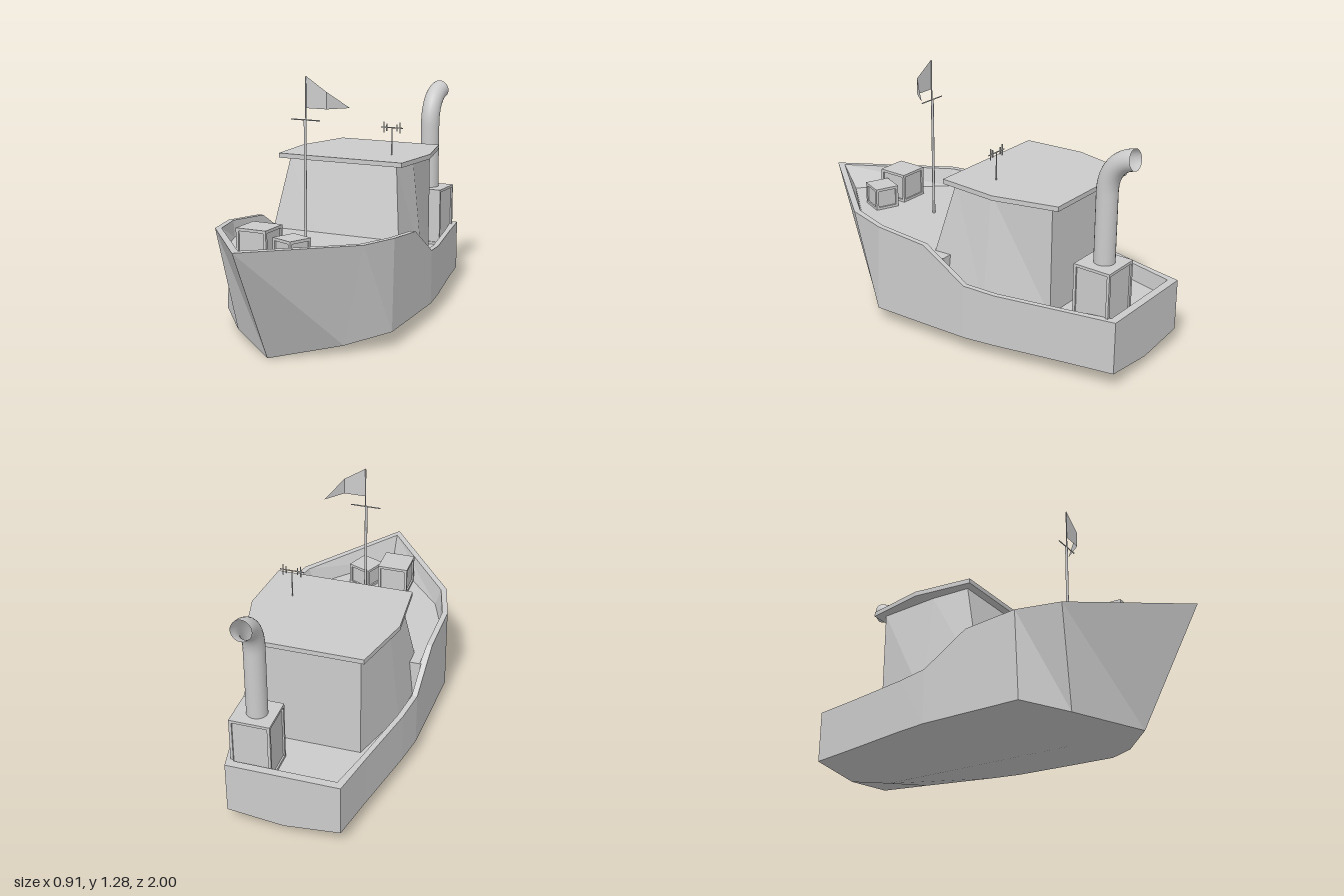
import * as THREE from 'three';

const mat = new THREE.MeshStandardMaterial({ color: 0xcccccc });
const thinMat = new THREE.MeshStandardMaterial({ color: 0xcccccc, side: THREE.DoubleSide });
const V = (x, y, z) => new THREE.Vector3(x, y, z);
const flip = (p) => V(-p.x, p.y, p.z);

function add(parent, name, geo, x = 0, y = 0, z = 0, material = mat) {
  const m = new THREE.Mesh(geo, material);
  m.name = name;
  m.position.set(x, y, z);
  parent.add(m);
  return m;
}

// Collects flat-shaded quads
function quadBuilder() {
  const pts = [];
  const quad = (a, b, c, d) => pts.push(a, b, c, a, c, d);
  return {
    quad,
    both(a, b, c, d) { // quad plus its mirror image
      quad(a, b, c, d);
      quad(flip(d), flip(c), flip(b), flip(a));
    },
    build() {
      const g = new THREE.BufferGeometry().setFromPoints(pts);
      g.computeVertexNormals();
      return g;
    },
  };
}

// Hull with bulwark and stepped deck, lofted from bow to stern
function hullGeometry() {
  const fore = 0.45, aft = 0.26;
  // rim z, x, y | chine z, x, y | keel y | deck y
  const stations = [
    [1, 0, 0.57, 0.7, 0, 0, 0, fore],
    [0.5, 0.4, 0.542, 0.48, 0.29, 0.04, 0, fore],
    [0.28, 0.457, 0.535, 0.3, 0.457, 0.08, 0, fore],
    [0, 0.446, 0.51, 0, 0.446, 0.08, 0, fore],
    [-0.09, 0.442, 0.454, -0.09, 0.442, 0.08, 0, fore],
    [-0.09, 0.442, 0.454, -0.09, 0.442, 0.08, 0, aft],
    [-0.24, 0.436, 0.36, -0.24, 0.436, 0.08, 0, aft],
    [-0.4, 0.408, 0.347, -0.4, 0.408, 0.08, 0, aft],
    [-0.76, 0.329, 0.345, -0.76, 0.329, 0.08, 0, aft],
    [-1, 0.28, 0.345, -1, 0.28, 0.08, 0.05, aft],
  ];
  const last = stations.length - 1;
  const rings = stations.map(([tz, tx, ty, cz, cx, cy, ky, dy], i) => {
    const T = V(tx, ty, tz), C = V(cx, cy, cz), K = V(0, ky, cz);
    const inset = (p, w) => V(Math.max(0, p.x - w), p.y,
      p.z + (i === 0 ? -1.8 * w : i === last ? 0.04 : i === 1 ? -0.015 : 0));
    const I = inset(T, 0.028);
    const D = inset(T.clone().lerp(C, (ty - dy) / (ty - cy)), 0.036);
    return [V(0, D.y, D.z), D, I, T, C, K];
  });
  const q = quadBuilder();
  for (let i = 0; i < last; i++)
    for (let j = 0; j < 5; j++)
      q.both(rings[i][j], rings[i][j + 1], rings[i + 1][j + 1], rings[i + 1][j]);
  // transom: outside, rim and inside
  const [Dm, D, I, T, C, K] = rings[last];
  const mid = (p) => V(0, p.y, p.z);
  q.both(T, C, K, mid(T));
  q.both(I, T, mid(T), mid(I));
  q.both(D, I, mid(I), Dm);
  return q.build();
}

// Symmetric prism; halves list [x, z] from front to back
function prism(low, y0, high, y1) {
  const q = quadBuilder();
  const a = low.map(([x, z]) => V(x, y0, z)), b = high.map(([x, z]) => V(x, y1, z));
  const mid = (p) => V(0, p.y, p.z);
  const n = a.length - 1;
  for (let i = 0; i < n; i++) {
    q.both(b[i], a[i], a[i + 1], b[i + 1]);
    q.both(mid(b[i]), b[i], b[i + 1], mid(b[i + 1]));
    q.both(a[i], mid(a[i]), mid(a[i + 1]), a[i + 1]);
  }
  q.both(mid(b[0]), mid(a[0]), a[0], b[0]);
  q.both(b[n], a[n], mid(a[n]), mid(b[n]));
  return q.build();
}

// Box with recessed side panels, standing on its origin
function panelBox(name, w, h, d) {
  const g = new THREE.Group();
  g.name = name;
  const t = 0.014, r = 0.008;
  add(g, 'panels', new THREE.BoxGeometry(w - 2 * r, h - 2 * t, d - 2 * r), 0, h / 2, 0);
  for (const y of [t / 2, h - t / 2]) add(g, 'plate', new THREE.BoxGeometry(w, t, d), 0, y, 0);
  for (const sx of [-1, 1]) for (const sz of [-1, 1])
    add(g, 'post', new THREE.BoxGeometry(t, h - 2 * t, t), sx * (w - t) / 2, h / 2, sz * (d - t) / 2);
  return g;
}

const rod = (r, len) => new THREE.CylinderGeometry(r, r, len, 8);

export function createModel() {
  const boat = new THREE.Group();
  boat.name = 'boat';
  add(boat, 'hull', hullGeometry(), 0, 0, 0, thinMat);

  // cabin and overhanging roof
  add(boat, 'cabin', prism(
    [[0.385, 0.049], [0.36, -0.3], [0.26, -0.625]], 0.25,
    [[0.3, -0.09], [0.3, -0.3], [0.26, -0.625]], 0.815));
  const roof = [[0.347, -0.047], [0.37, -0.36], [0.29, -0.677]];
  add(boat, 'roof', prism(roof, 0.812, roof, 0.836));

  // foredeck crates
  const big = panelBox('largeCrate', 0.16, 0.155, 0.16);
  big.position.set(-0.09, 0.449, 0.605);
  const small = panelBox('smallCrate', 0.127, 0.117, 0.127);
  small.position.set(0.08, 0.449, 0.6);
  small.rotation.y = -0.39;

  // engine box and bent exhaust pipe
  const engine = panelBox('engineBox', 0.2, 0.31, 0.195);
  engine.position.set(0.17, 0.26, -0.853);
  boat.add(big, small, engine);
  const path = new THREE.CurvePath();
  path.add(new THREE.LineCurve3(V(0.165, 0.56, -0.855), V(0.165, 0.92, -0.855)));
  path.add(new THREE.CubicBezierCurve3(V(0.165, 0.92, -0.855), V(0.165, 1.02, -0.857),
    V(0.165, 1.085, -0.91), V(0.165, 1.1, -0.994)));
  add(boat, 'exhaustPipe', new THREE.TubeGeometry(path, 32, 0.051, 24), 0, 0, 0, thinMat);

  // mast with crossbar and folded pennant
  const mast = new THREE.Group();
  mast.name = 'mast';
  mast.position.set(0, 0, 0.31);
  boat.add(mast);
  add(mast, 'pole', rod(0.007, 0.63), -0.002, 0.76, 0);
  add(mast, 'poleTop', rod(0.003, 0.21), 0.002, 1.175, 0);
  add(mast, 'crossbar', rod(0.003, 0.155), 0, 1.073, 0).rotation.z = Math.PI / 2;
  const flag = quadBuilder();
  const fold = [V(0.113, 1.13, 0), V(0.113, 1.212, 0)], tip = V(0.19, 1.13, -0.095);
  flag.quad(V(0.002, 1.13, 0), fold[0], fold[1], V(0.002, 1.284, 0));
  flag.quad(fold[0], tip, tip, fold[1]);
  add(mast, 'pennant', flag.build(), 0, 0, 0, thinMat);

  // roof antenna
  const antenna = new THREE.Group();
  antenna.name = 'antenna';
  antenna.position.set(0.2, 0.835, -0.255);
  boat.add(antenna);
  add(antenna, 'stem', rod(0.003, 0.145), 0, 0.07, 0);
  add(antenna, 'boom', rod(0.003, 0.12), 0, 0.142, 0).rotation.z = Math.PI / 2;
  for (const s of [-1, 1]) {
    add(antenna, 'outerElement', rod(0.003, 0.056), s * 0.045, 0.142, 0);
    add(antenna, 'innerElement', rod(0.003, 0.036), s * 0.029, 0.142, 0);
  }
  return boat;
}
